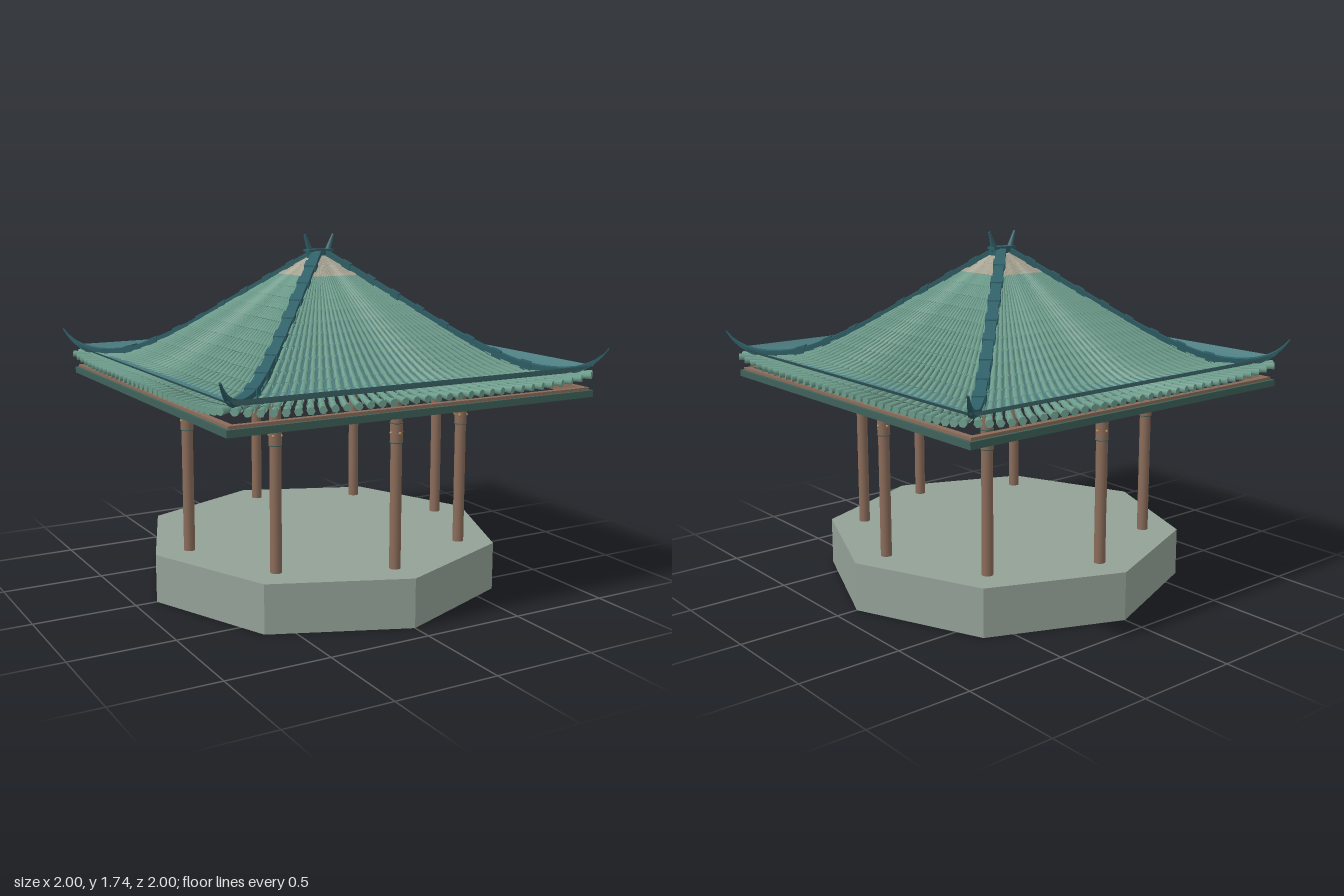
import * as THREE from 'three';
import { mergeGeometries, toCreasedNormals } from 'three/addons/utils/BufferGeometryUtils.js';

const mat = (color, extra = {}) => new THREE.MeshStandardMaterial({ color, ...extra });
const M = {
  stone: mat(0x93a197, { flatShading: true }),
  wood: mat(0x8a6c5a),
  trim: mat(0x3f625a),
  sheet: mat(0x4c7c80, { side: THREE.DoubleSide }),
  tile: mat(0x6f9f8e, { side: THREE.DoubleSide }),
  paleTile: mat(0xaaa795, { side: THREE.DoubleSide }),
  ridge: mat(0x2f6068),
  gold: mat(0xb0905a),
};
const UP = new THREE.Vector3(0, 1, 0);

function add(parent, name, geometry, material, x = 0, y = 0, z = 0) {
  const mesh = new THREE.Mesh(geometry, material);
  mesh.name = name;
  mesh.position.set(x, y, z);
  parent.add(mesh);
  return mesh;
}

// Tapered round bar from point a to point b
function bar(a, b, ra, rb, sides, open = false) {
  const dir = b.clone().sub(a);
  const g = new THREE.CylinderGeometry(rb, ra, dir.length(), sides, 1, open);
  g.applyQuaternion(new THREE.Quaternion().setFromUnitVectors(UP, dir.normalize()));
  const m = a.clone().add(b).multiplyScalar(0.5);
  return g.translate(m.x, m.y, m.z);
}

// Rectangular sweep along the +x +z diagonal; rows are [distance, top y, half width, height]
function diagonalSweep(rows) {
  const pos = [], idx = [], q = Math.SQRT1_2;
  for (const [d, y, w, h] of rows) {
    for (const [s, drop] of [[-1, h], [1, h], [1, 0], [-1, 0]]) {
      pos.push(d + s * w * q, y - drop, d - s * w * q);
    }
  }
  const n = rows.length;
  for (let i = 0; i < n - 1; i++) {
    for (let k = 0; k < 4; k++) {
      const a = i * 4 + k, b = i * 4 + (k + 1) % 4;
      idx.push(a, b, b + 4, a, b + 4, a + 4);
    }
  }
  const e = (n - 1) * 4;
  idx.push(0, 2, 1, 0, 3, 2, e, e + 1, e + 2, e, e + 2, e + 3);
  const g = new THREE.BufferGeometry();
  g.setAttribute('position', new THREE.Float32BufferAttribute(pos, 3));
  g.setIndex(idx);
  return toCreasedNormals(g, 0.6);
}

const spline = (pts) => new THREE.SplineCurve(pts.map(([x, y]) => new THREE.Vector2(x, y)));

function column() {
  const g = new THREE.Group();
  g.name = 'column';
  add(g, 'shaft', new THREE.CylinderGeometry(0.027, 0.027, 0.785, 16), M.wood, 0, 0.6275, 0);
  add(g, 'collar', new THREE.CylinderGeometry(0.03, 0.03, 0.09, 16), M.wood, 0, 0.875, 0);
  for (const y of [0.83, 0.92]) {
    const ring = add(g, 'collarRing', new THREE.TorusGeometry(0.029, 0.003, 6, 20), M.trim, 0, y, 0);
    ring.rotation.x = Math.PI / 2;
  }
  for (let i = 0; i < 4; i++) {
    const a = i * Math.PI / 2;
    add(g, 'collarStud', new THREE.SphereGeometry(0.007, 8, 6), M.gold,
      0.029 * Math.sin(a), 0.875, 0.029 * Math.cos(a));
  }
  return g;
}

// One roof side facing +z: rows of overlapping tiles fanning out from the peak
function tileSide() {
  const side = new THREE.Group();
  side.name = 'roofTiles';
  const path = spline([[0.04, 1.63], [0.28, 1.437], [0.49, 1.268], [0.65, 1.153],
    [0.75, 1.1], [0.85, 1.075], [0.965, 1.066]]).getSpacedPoints(15);
  const pale = [], green = [], count = 33;
  for (let c = 0; c < count; c++) {
    const s = (2 * c / (count - 1) - 1) * 0.97;
    const at = ({ x: d, y }) => new THREE.Vector3(
      s * Math.min(d, 0.95), y + 0.035 * s ** 6 * Math.max(0, (d - 0.72) / 0.24), d);
    for (let r = 0; r < path.length - 1; r++) {
      const d = path[r + 1].x, rad = 0.005 + 0.014 * d;
      const last = r === path.length - 2;
      const g = bar(at(path[r]), at(path[r + 1]), rad * 0.7, rad, 6, !last);
      (d < 0.17 + 0.04 * (c % 3 === 0) ? pale : green).push(g);
    }
  }
  add(side, 'paleTiles', mergeGeometries(pale), M.paleTile);
  add(side, 'greenTiles', mergeGeometries(green), M.tile);
  return side;
}

// Hip ridge with upturned end and raised joint bands
function hipRidge() {
  const hip = new THREE.Group();
  hip.name = 'hipRidge';
  const line = spline([[0.03, 1.655], [0.28, 1.452], [0.49, 1.282], [0.65, 1.178],
    [0.75, 1.135], [0.85, 1.125], [0.92, 1.145], [0.965, 1.18], [0.995, 1.225]]).getSpacedPoints(32);
  const rows = line.map(({ x, y }) => {
    const t = Math.max(0, (x - 0.84) / 0.155);
    return [x, y, 0.024 * (1 - 0.8 * t), 0.045 * (1 - 0.85 * t)];
  });
  add(hip, 'ridgeBody', diagonalSweep(rows), M.ridge);
  for (let i = 2; i < 26; i += 3) {
    const [a, b] = [rows[i], rows[i + 1]];
    const band = [a, b].map(([d, y, w, h]) => [d, y + 0.006, w + 0.005, h + 0.004]);
    add(hip, 'ridgeBand', diagonalSweep(band), M.ridge);
  }
  return hip;
}

export function createModel() {
  const model = new THREE.Group();
  model.name = 'pavilion';

  // Eight-sided base
  add(model, 'base', new THREE.CylinderGeometry(0.893, 0.893, 0.235, 8), M.stone, 0, 0.1175, 0);

  // Ring of columns
  for (let i = 0; i < 8; i++) {
    const c = column(), a = i * Math.PI / 4;
    c.position.set(0.718 * Math.sin(a), 0, 0.718 * Math.cos(a));
    c.rotation.y = a;
    model.add(c);
  }

  // Curved roof sheet with a lifted rim
  const profile = spline([[0.02, 1.63], [0.28, 1.42], [0.49, 1.25], [0.65, 1.14],
    [0.75, 1.102], [0.84, 1.095], [0.9, 1.108], [0.95, 1.14]]).getSpacedPoints(28);
  const sheet = new THREE.LatheGeometry(
    profile.map((p) => new THREE.Vector2(p.x * Math.SQRT2, p.y)).reverse(), 4, Math.PI / 4);
  add(model, 'roofSheet', toCreasedNormals(sheet, 0.5), M.sheet);

  // Tiles, hips and eave beams on each of the four sides
  for (let i = 0; i < 4; i++) {
    const quarter = new THREE.Group();
    quarter.name = 'roofSide';
    quarter.rotation.y = i * Math.PI / 2;
    quarter.add(tileSide(), hipRidge());
    add(quarter, 'eaveBeam', new THREE.BoxGeometry(1.87, 0.04, 0.03), M.wood, 0, 1.015, 0.92);
    add(quarter, 'eaveTrim', new THREE.BoxGeometry(1.9, 0.032, 0.015), M.trim, 0, 1.006, 0.9425);
    model.add(quarter);
  }

  // Peak cap and its two horns
  add(model, 'peakCap', new THREE.BoxGeometry(0.12, 0.035, 0.045), M.ridge, 0, 1.638, 0);
  add(model, 'peakRail', new THREE.BoxGeometry(0.14, 0.012, 0.055), M.ridge, 0, 1.657, 0);
  for (const s of [-1, 1]) {
    const horn = bar(new THREE.Vector3(s * 0.045, 1.64, 0), new THREE.Vector3(s * 0.08, 1.735, 0), 0.018, 0.006, 6);
    add(model, 'peakHorn', horn, M.ridge);
  }
  return model;
}
